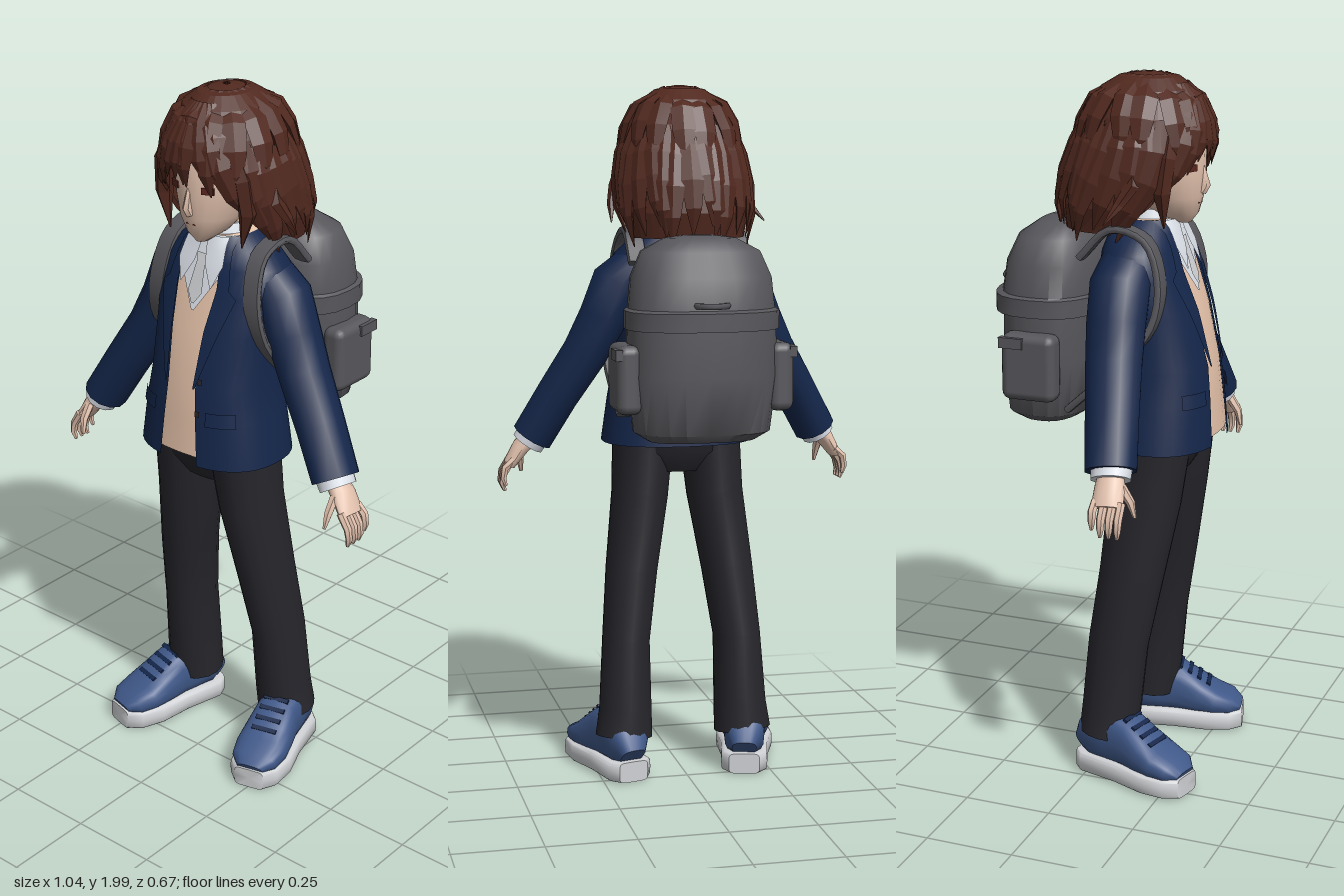
import * as THREE from 'three';
import { toCreasedNormals } from 'three/addons/utils/BufferGeometryUtils.js';
import { RoundedBoxGeometry } from 'three/addons/geometries/RoundedBoxGeometry.js';

const V = (x, y, z) => new THREE.Vector3(x, y, z);
const spow = (v, e) => Math.sign(v) * Math.abs(v) ** e;
const mat = (name, color) => new THREE.MeshStandardMaterial({ name, color, side: THREE.DoubleSide });

// Skin a stack of point rings, optionally closed around and capped at both ends
function skin(rings, closed = true, caps = true, crease = 0.9) {
  const n = rings[0].length, index = [], pts = rings.flat();
  for (let i = 0; i < rings.length - 1; i++)
    for (let j = 0; j < (closed ? n : n - 1); j++) {
      const k = (j + 1) % n, a = i * n + j, b = i * n + k;
      index.push(a, b, b + n, a, b + n, a + n);
    }
  if (closed && caps) [0, rings.length - 1].forEach((r, top) => {
    const c = rings[r].reduce((m, p) => m.add(p), V(0, 0, 0)).divideScalar(n);
    pts.push(c);
    for (let j = 0; j < n; j++) {
      const a = r * n + j, b = r * n + (j + 1) % n;
      index.push(pts.length - 1, top ? a : b, top ? b : a);
    }
  });
  const g = new THREE.BufferGeometry().setFromPoints(pts);
  g.setIndex(index);
  return toCreasedNormals(g, crease);
}

// Upright form: rows of [y, centre z, half width, half depth, half width of front opening]
function shell(rows, { n = 24, p = 2, open = false, crease = 0.9, scale = 1 } = {}) {
  return skin(rows.map(([y, cz, rx, rz, gap = 0]) => {
    const g = open ? Math.asin(Math.min(1, (gap / rx) ** (p / 2))) : 0;
    return Array.from({ length: open ? n + 1 : n }, (_, j) => {
      const t = g + (2 * Math.PI - 2 * g) * j / n;
      return V(rx * scale * spow(Math.sin(t), 2 / p), y, cz + rz * scale * spow(Math.cos(t), 2 / p));
    });
  }), !open, true, crease);
}

// Form along a path: rows of [x, y, z, half size across, half size towards ref]
function limb(rows, { ref = V(0, 0, 1), n = 12, p = 2, crease = 0.9 } = {}) {
  const c = rows.map(r => V(r[0], r[1], r[2])), last = rows.length - 1;
  return skin(rows.map((r, i) => {
    const T = c[Math.min(i + 1, last)].clone().sub(c[Math.max(i - 1, 0)]).normalize();
    const S = T.clone().cross(ref).normalize(), F = S.clone().cross(T);
    return Array.from({ length: n }, (_, j) => {
      const t = 2 * Math.PI * j / n;
      return c[i].clone().addScaledVector(S, r[3] * spow(Math.sin(t), 2 / p))
        .addScaledVector(F, r[4] * spow(Math.cos(t), 2 / p));
    });
  }), true, true, crease);
}

// Interpolated row at height y
function rowAt(rows, y) {
  let i = 0;
  while (i < rows.length - 2 && rows[i + 1][0] < y) i++;
  const a = rows[i], b = rows[i + 1], f = THREE.MathUtils.clamp((y - a[0]) / (b[0] - a[0]), 0, 1);
  return a.map((v, k) => v + (b[k] - v) * f);
}

const JACKET = [
  [0.975, 0.15, 0.218, 0.168, 0.065], [1.1, 0.15, 0.2, 0.158, 0.055], [1.2, 0.145, 0.182, 0.152, 0.048],
  [1.35, 0.125, 0.185, 0.138, 0.06], [1.45, 0.105, 0.2, 0.122, 0.072], [1.52, 0.098, 0.19, 0.105, 0.076],
  [1.565, 0.095, 0.14, 0.09, 0.072], [1.6, 0.095, 0.085, 0.078, 0.06]];
const HAIR = [
  [1.57, 0, 0.16, 0.13, 0.14], [1.64, 0.03, 0.18, 0.175, 0.135], [1.72, 0.065, 0.177, 0.195, 0.11],
  [1.79, 0.085, 0.167, 0.19, 0.085], [1.84, 0.09, 0.16, 0.182, 0.03], [1.88, 0.09, 0.15, 0.165, 0],
  [1.95, 0.095, 0.112, 0.13, 0], [1.98, 0.1, 0.07, 0.085, 0], [1.992, 0.1, 0.01, 0.01, 0]];

// Thin cloth piece on the chest: rows of [y, x0, x1], rising
function patch(rows, offset, s = 1) {
  const lines = [], p = 2.4, steps = 4 * (rows.length - 1);
  for (let i = 0; i <= steps; i++) {
    const k = Math.min(Math.floor(i / 4), rows.length - 2), f = i / 4 - k;
    const [y, x0, x1] = rows[k].map((v, m) => v + (rows[k + 1][m] - v) * f);
    const [, cz, rx, rz] = rowAt(JACKET, y);
    lines.push(Array.from({ length: 6 }, (_, j) => {
      const x = x0 + (x1 - x0) * j / 5;
      return V(s * x, y, cz + offset + rz * Math.max(0, 1 - Math.abs(x / rx) ** p) ** (1 / p));
    }));
  }
  return skin(lines, false);
}

export function createModel() {
  const root = new THREE.Group();
  root.name = 'studentWithBackpack';
  const M = {
    hair: mat('brown hair', 0x51291f), skin: mat('skin', 0xe3c2ae), navy: mat('navy cloth', 0x14264a),
    sweater: mat('peach knit', 0xe6c3aa), shirt: mat('white shirt', 0xdfe4ec), pants: mat('black cloth', 0x25252b),
    shoe: mat('blue canvas', 0x3f5888), sole: mat('pale grey', 0xcfd1d4), pack: mat('grey canvas', 0x57565b),
    eye: mat('eye brown', 0x5a2620) };
  const add = (name, geo, m, parent = root) => {
    const mesh = new THREE.Mesh(geo, m);
    mesh.name = name;
    parent.add(mesh);
    return mesh;
  };

  // Torso clothing
  add('jacket', shell(JACKET, { n: 36, p: 2.4, open: true }), M.navy);
  add('sweater', shell(JACKET.map(r => r[0] < 1 ? [1, ...r.slice(1)] : r), { n: 32, p: 2.4, scale: 0.965 }), M.sweater);
  add('shirtFront', patch([[1.4, -0.004, 0.004], [1.5, -0.066, 0.066], [1.6, -0.07, 0.07]], 0.003), M.shirt);
  add('tie', patch([[1.42, -0.004, 0.004], [1.45, -0.024, 0.024], [1.53, -0.014, 0.014], [1.55, -0.02, 0.02]], 0.01), M.sole);
  add('shirtCollar', shell([[1.55, 0.1, 0.085, 0.085], [1.625, 0.105, 0.058, 0.06]], {}), M.shirt);
  add('hips', shell([[0.89, 0.145, 0.1, 0.08], [0.95, 0.145, 0.185, 0.115], [1.08, 0.15, 0.185, 0.13]], { p: 2.4 }), M.pants);
  for (const y of [1.13, 1.22]) add('button', patch([[y - 0.008, 0.056, 0.07], [y + 0.008, 0.056, 0.07]], 0.006), M.pants);

  // Head
  add('neck', limb([[0, 1.5, 0.09, 0.055, 0.055], [0, 1.68, 0.12, 0.05, 0.052]]), M.skin);
  add('face', shell([[1.588, 0.2, 0.016, 0.022], [1.615, 0.175, 0.05, 0.068], [1.66, 0.15, 0.085, 0.105],
    [1.72, 0.13, 0.106, 0.13], [1.78, 0.12, 0.125, 0.138], [1.87, 0.11, 0.12, 0.13], [1.94, 0.1, 0.08, 0.09]]), M.skin);
  add('nose', limb([[0, 1.675, 0.252, 0.013, 0.014], [0, 1.692, 0.262, 0.012, 0.016], [0, 1.75, 0.25, 0.006, 0.008]], { n: 6 }), M.skin);
  add('mouth', new THREE.BoxGeometry(0.03, 0.004, 0.006), M.eye).position.set(0, 1.645, 0.247);

  // Hair: cap, then pointed locks that follow it
  add('hairCap', shell(HAIR, { n: 30, open: true, crease: 0.1 }), M.hair);
  const lock = (name, t0, t1, y0, y1, w, off) => {
    const sizes = [[0.3, 0], [1, 0.7], [0.95, 1], [0.65, 1], [0.05, 0.8]];
    const rows = sizes.map(([k, o], i) => {
      const f = i / 4, t = t0 + (t1 - t0) * f, y = y0 + (y1 - y0) * f, [, cz, rx, rz] = rowAt(HAIR, y);
      return [(rx + off * o) * Math.sin(t), y, cz + (rz + off * o) * Math.cos(t), w * k, 0.014 * k];
    });
    const tm = (t0 + t1) / 2;
    add(name, limb(rows, { ref: V(Math.sin(tm), 0, Math.cos(tm)), n: 5, crease: 0.1 }), M.hair);
  };
  for (let i = 0; i < 22; i++) {
    const t = 1 + (2 * Math.PI - 2) * i / 21, wob = Math.sin(i * 4.7);
    lock('sideAndBackLock', t, t + 0.12 * wob, 1.88, 1.575 + 0.03 * wob, 0.036, 0.012);
  }
  for (let i = 0; i < 15; i++) {
    const t = 2 * Math.PI * i / 15;
    lock('crownLock', t, t + 0.2 * Math.sin(i * 3.1), 1.985, 1.76 + 0.03 * Math.sin(i * 5.3), 0.036, 0.009);
  }
  [[-0.85, 1.66], [-0.6, 1.73], [-0.38, 1.765], [-0.15, 1.77], [0.06, 1.755], [0.35, 1.79], [0.62, 1.75], [0.85, 1.66]]
    .forEach(([t, y]) => lock('fringeLock', t * 0.45, t, 1.965, y, 0.034, 0.01));

  // Backpack
  add('backpackBody', shell([[1.02, -0.17, 0.15, 0.08], [1.045, -0.17, 0.19, 0.118], [1.2, -0.168, 0.21, 0.135],
    [1.36, -0.168, 0.205, 0.13]], { p: 2.6 }), M.pack);
  add('backpackLid', shell([[1.33, -0.17, 0.213, 0.155], [1.38, -0.17, 0.213, 0.155], [1.386, -0.165, 0.203, 0.14],
    [1.47, -0.16, 0.195, 0.132], [1.54, -0.155, 0.165, 0.105], [1.575, -0.15, 0.1, 0.06], [1.582, -0.15, 0.04, 0.03]], { p: 2.5 }), M.pack);
  const handle = add('carryHandle', new THREE.TorusGeometry(0.045, 0.009, 6, 12, Math.PI), M.pack);
  handle.position.set(0, 1.4, -0.285);
  handle.rotation.x = -Math.PI / 2;

  for (const s of [1, -1]) {
    const side = new THREE.Group();
    side.name = s > 0 ? 'leftSide' : 'rightSide';
    root.add(side);
    const part = (name, rows, m, o) => add(name, limb(rows.map(([x, ...r]) => [s * x, ...r]), o), m, side);

    // Jacket details and collar
    add('lapel', patch([[1.2, 0.046, 0.052], [1.36, 0.056, 0.1], [1.45, 0.066, 0.128], [1.47, 0.068, 0.105], [1.6, 0.055, 0.08]], 0.01, s), M.navy, side);
    add('pocketFlap', patch([[1.1, 0.09, 0.165], [1.14, 0.088, 0.16]], 0.008, s), M.navy, side);
    add('collarFlap', patch([[1.47, 0.05, 0.054], [1.53, 0.018, 0.076], [1.6, 0.006, 0.066]], 0.016, s), M.shirt, side);

    // Face details
    const eye = add('eye', new THREE.BoxGeometry(0.034, 0.018, 0.008), M.eye, side);
    eye.position.set(s * 0.055, 1.745, 0.243);
    eye.rotation.y = s * 0.4;
    const ear = add('ear', new THREE.SphereGeometry(0.03, 10, 8), M.skin, side);
    ear.scale.set(0.5, 1.2, 0.8);
    ear.position.set(s * 0.118, 1.72, 0.11);
    const hairOpt = { n: 5, crease: 0.1 };
    part('faceLock', [[0.1, 1.86, 0.2, 0.02, 0.02], [0.135, 1.78, 0.2, 0.03, 0.025], [0.145, 1.69, 0.19, 0.026, 0.025], [0.125, 1.59, 0.19, 0.002, 0.002]], M.hair, hairOpt);
    part('flickLock', [[0.15, 1.8, 0.11, 0.02, 0.02], [0.185, 1.71, 0.12, 0.016, 0.022], [0.2, 1.66, 0.09, 0.012, 0.015], [s > 0 ? 0.205 : 0.24, 1.61, 0.06, 0.002, 0.002]], M.hair, hairOpt);

    // Arm and hand
    part('sleeve', [[0.13, 1.51, 0.088, 0.045, 0.07], [0.185, 1.44, 0.088, 0.073, 0.086], [0.225, 1.34, 0.092, 0.07, 0.084],
      [0.275, 1.24, 0.105, 0.066, 0.08], [0.35, 1.12, 0.13, 0.062, 0.076], [0.422, 0.995, 0.155, 0.061, 0.073]], M.navy);
    part('cuff', [[0.41, 1.015, 0.153, 0.05, 0.06], [0.435, 0.975, 0.16, 0.048, 0.056]], M.shirt);
    part('palm', [[0.42, 1.0, 0.157, 0.026, 0.034], [0.455, 0.965, 0.165, 0.025, 0.042], [0.488, 0.915, 0.17, 0.017, 0.045]], M.skin);
    for (let i = 0; i < 4; i++) {
      const z = 0.135 + i * 0.024, d = i === 0 ? 0.018 : 0;
      part('finger', [[0.48, 0.93, z, 0.012, 0.012], [0.505, 0.89 + d, z, 0.011, 0.012], [0.51, 0.86 + d, z, 0.009, 0.01], [0.503, 0.838 + d, z - 0.003, 0.005, 0.005]], M.skin, { n: 6 });
    }
    part('thumb', [[0.45, 0.965, 0.195, 0.014, 0.014], [0.45, 0.925, 0.222, 0.012, 0.012], [0.445, 0.882, 0.232, 0.005, 0.005]], M.skin, { n: 6, ref: V(1, 0, 0) });

    // Trouser leg
    part('trouserLeg', [[0.178, 0.12, 0.052, 0.084, 0.084], [0.172, 0.2, 0.06, 0.077, 0.086], [0.166, 0.4, 0.078, 0.069, 0.088],
      [0.143, 0.6, 0.108, 0.075, 0.094], [0.112, 0.82, 0.135, 0.082, 0.106], [0.1, 0.98, 0.148, 0.088, 0.114]], M.pants, { n: 16 });

    // Shoe, toes turned out
    const shoe = new THREE.Group();
    shoe.name = 'shoe';
    shoe.position.set(s * 0.165, 0, -0.027);
    shoe.rotation.y = s * 0.25;
    side.add(shoe);
    const along = { ref: V(0, 1, 0), n: 20 };
    add('sole', limb([[0, 0.045], [0.03, 0.068], [0.15, 0.07], [0.25, 0.085], [0.32, 0.075], [0.356, 0.045]]
      .map(([z, w]) => [0, 0.03, z, w, 0.03]), { ...along, p: 6 }), M.sole, shoe);
    add('upper', limb([[0.006, 0.11, 0.036], [0.03, 0.16, 0.058], [0.1, 0.2, 0.062], [0.16, 0.19, 0.064],
      [0.22, 0.15, 0.073], [0.27, 0.12, 0.077], [0.32, 0.1, 0.068], [0.348, 0.075, 0.04]]
      .map(([z, h, w]) => [0, (h + 0.04) / 2, z, w, (h - 0.04) / 2]), { ...along, p: 2.8 }), M.shoe, shoe);
    for (let i = 0; i < 4; i++) {
      const lace = add('lace', new THREE.BoxGeometry(0.076, 0.008, 0.013), M.navy, shoe);
      lace.position.set(0, 0.188 - i * 0.018, 0.168 + i * 0.028);
      lace.rotation.x = 0.55;
    }

    // Backpack strap and side pocket
    const path = new THREE.CatmullRomCurve3([V(0.15, 1.5, -0.04), V(0.15, 1.585, 0.05), V(0.152, 1.56, 0.15), V(0.165, 1.45, 0.195),
      V(0.182, 1.33, 0.18), V(0.2, 1.22, 0.09), V(0.19, 1.08, -0.06)]);
    part('shoulderStrap', path.getPoints(24).map(q => [q.x, q.y, q.z, 0.011, 0.028]), M.pack, { ref: V(1, 0, 0), n: 8, p: 4 });
    add('sidePocket', new RoundedBoxGeometry(0.07, 0.19, 0.16, 2, 0.025), M.pack, side).position.set(s * 0.213, 1.195, -0.165);
    add('pocketStrap', new THREE.BoxGeometry(0.02, 0.03, 0.07), M.pack, side).position.set(s * 0.244, 1.265, -0.21);
  }
  return root;
}
